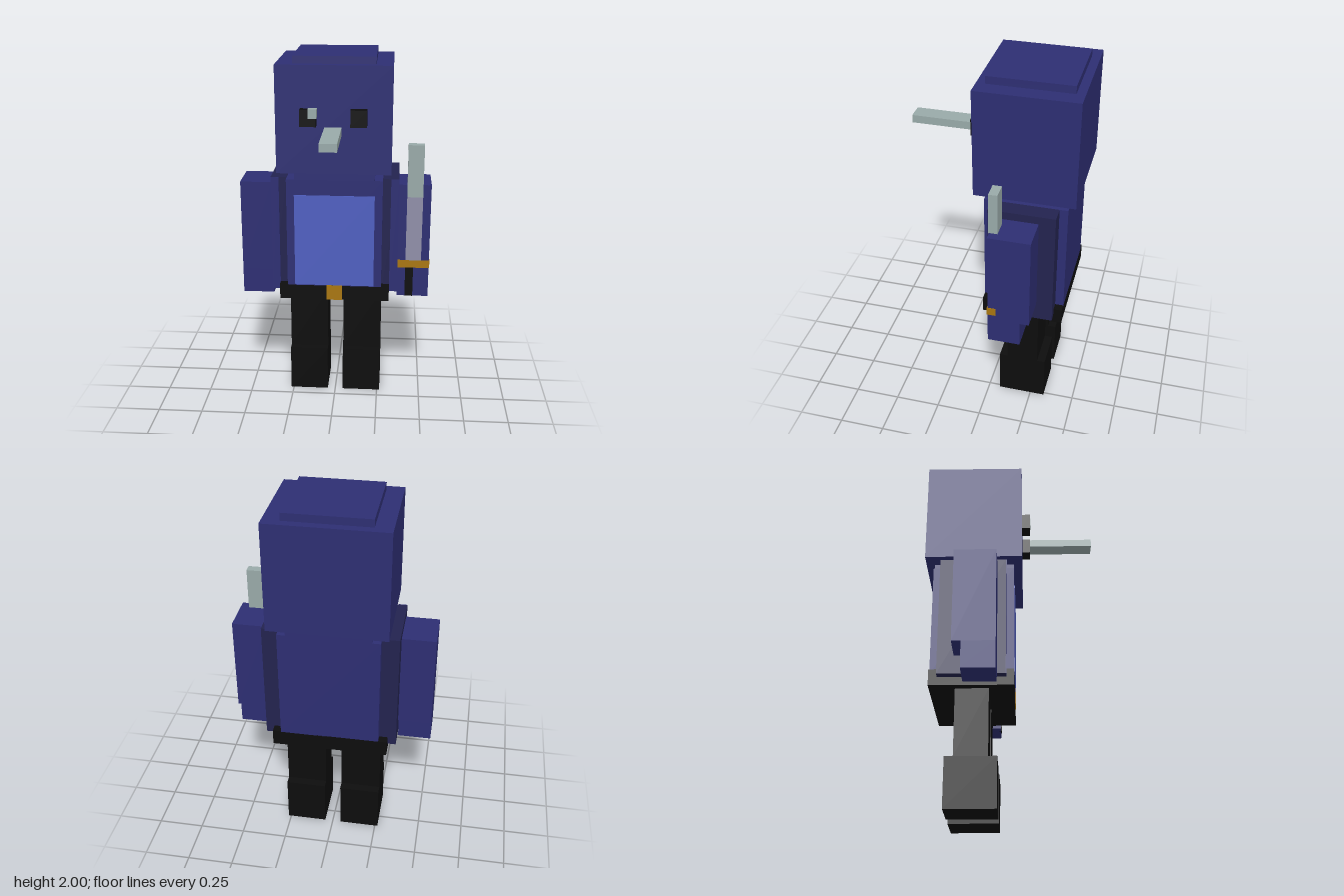
import * as THREE from 'three';

const mat = (name, color) => {
  const m = new THREE.MeshStandardMaterial({ color });
  m.name = name;
  return m;
};

export function createModel() {
  const navy = mat('navy', 0x2d2e72);
  const darkNavy = mat('dark navy', 0x23234f);
  const blue = mat('belly blue', 0x4f5fc0);
  const black = mat('black', 0x0d0d0d);
  const gold = mat('gold', 0xa8760f);
  const grey = mat('pale grey', 0x98a9a8);
  const lilac = mat('lilac grey', 0x8f8ea8);

  const model = new THREE.Group();
  model.name = 'blockFigure';

  // Box given by its lower and upper limit on each axis
  const box = (name, material, [x0, x1], [y0, y1], [z0, z1]) => {
    const mesh = new THREE.Mesh(new THREE.BoxGeometry(x1 - x0, y1 - y0, z1 - z0), material);
    mesh.position.set((x0 + x1) / 2, (y0 + y1) / 2, (z0 + z1) / 2);
    mesh.name = name;
    model.add(mesh);
  };
  // The same box on both sides of x = 0
  const pair = (name, material, [x0, x1], y, z) => {
    box(name + 'Left', material, [x0, x1], y, z);
    box(name + 'Right', material, [-x1, -x0], y, z);
  };

  // Head
  box('head', navy, [-0.31, 0.31], [1.38, 1.96], [-0.465, 0.065]);
  box('headTop', navy, [-0.22, 0.22], [1.96, 2], [-0.42, 0.02]);
  pair('eye', black, [0.09, 0.177], [1.645, 1.735], [0.065, 0.11]);
  box('eyeGlint', grey, [-0.133, -0.087], [1.69, 1.738], [0.065, 0.113]);
  box('nose', grey, [-0.045, 0.045], [1.602, 1.645], [0.11, 0.465]);

  // Torso, stepped in towards the sides
  box('neck', navy, [-0.22, 0.22], [1.33, 1.38], [-0.42, 0.02]);
  box('torso', navy, [-0.265, 0.265], [0.71, 1.333], [-0.42, 0.02]);
  pair('sidePanel', darkNavy, [0.265, 0.355], [0.67, 1.333], [-0.375, -0.022]);
  pair('sidePanelFront', navy, [0.31, 0.355], [0.67, 1.333], [-0.022, -0.018]);
  box('belly', blue, [-0.222, 0.222], [0.715, 1.245], [0.02, 0.024]);

  // Belt
  box('belt', black, [-0.31, 0.31], [0.625, 0.713], [-0.42, 0.02]);
  box('buckle', gold, [-0.045, 0.045], [0.625, 0.713], [0.02, 0.024]);

  // Arms, narrower at the hands
  pair('arm', navy, [0.355, 0.533], [0.77, 1.29], [-0.288, -0.067]);
  pair('hand', navy, [0.355, 0.533], [0.625, 0.77], [-0.24, -0.067]);

  // Legs and feet
  pair('leg', black, [0.045, 0.265], [0.265, 0.625], [-0.285, -0.11]);
  pair('foot', black, [0.045, 0.265], [0, 0.265], [-0.33, -0.065]);

  // Sword set into the front of the left arm
  const swordZ = [-0.11, -0.063];
  box('bladeLower', lilac, [0.4, 0.488], [0.845, 1.22], swordZ);
  box('bladeUpper', grey, [0.4, 0.488], [1.22, 1.515], swordZ);
  box('swordGuard', gold, [0.353, 0.536], [0.8, 0.845], swordZ);
  box('swordGrip', black, [0.4, 0.445], [0.625, 0.8], swordZ);

  return model;
}
